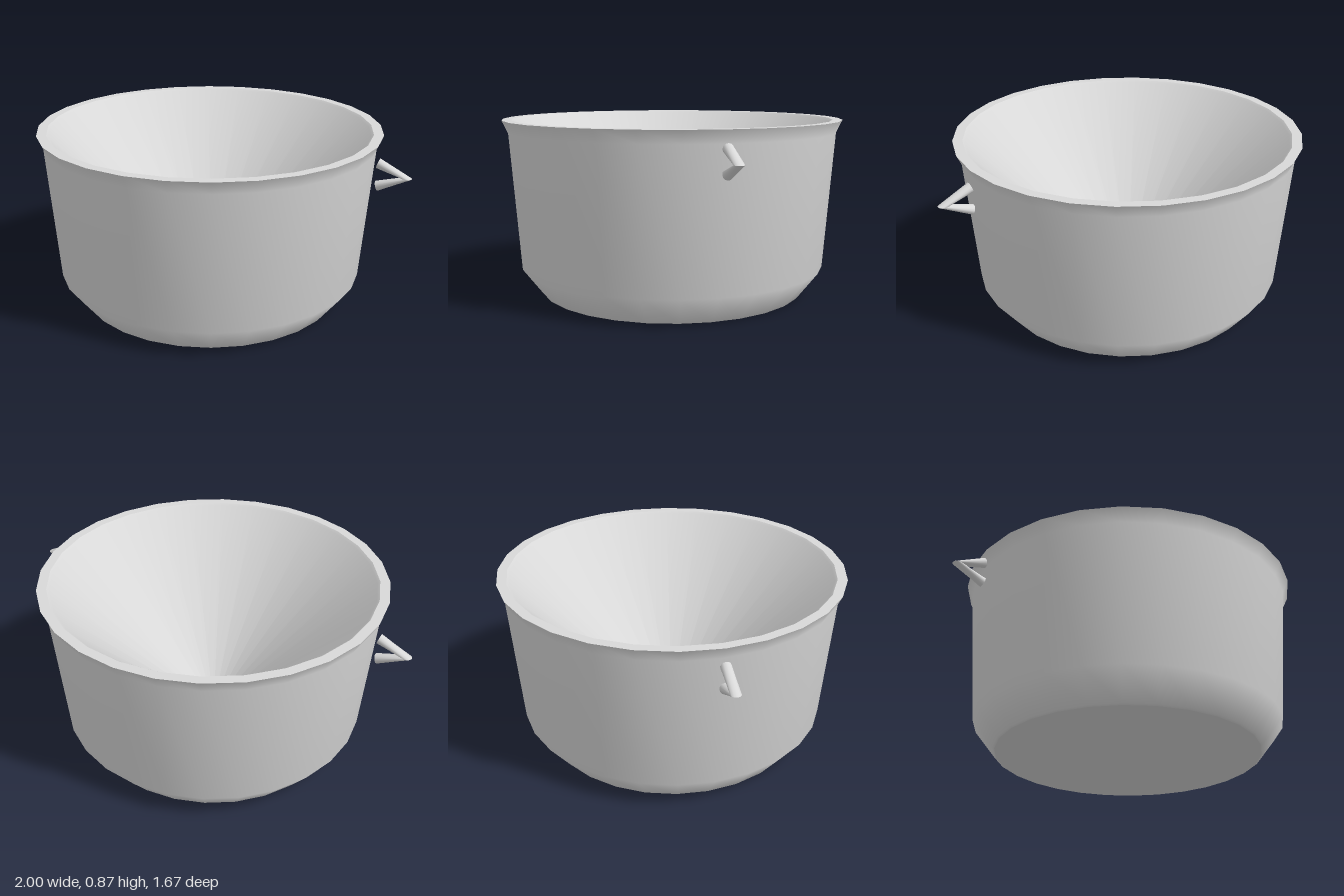
import * as THREE from 'three';

const SIDES = 28;

// V-shaped bar: two round arms that flatten into a shared edge at the tip
function handleGeometry() {
  const n = 12, r = 0.024;
  const low = { x: 0.842, y: 0.681, a: -1.25 };
  const tip = { x: 0.976, y: 0.735, a: 0 };
  const high = { x: 0.842, y: 0.789, a: 1.25 };
  const pos = [], idx = [];
  const addRing = ({ x, y, a }) => {
    const start = pos.length / 3;
    for (let i = 0; i < n; i++) {
      const t = (i / n) * Math.PI * 2, c = r * Math.cos(t);
      pos.push(x + c * Math.cos(a), y + c * Math.sin(a), r * Math.sin(t));
    }
    return start;
  };
  // each arm has its own rings, so the fold at the tip stays sharp
  for (const [from, to] of [[low, tip], [tip, high]]) {
    const a = addRing(from), b = addRing(to);
    for (let i = 0; i < n; i++) {
      const k = (i + 1) % n;
      idx.push(a + i, b + i, a + k, b + i, b + k, a + k);
    }
  }
  // end caps
  const s = addRing(low), e = addRing(high);
  for (let i = 1; i < n - 1; i++) {
    idx.push(s, s + i, s + i + 1, e, e + i + 1, e + i);
  }
  const g = new THREE.BufferGeometry();
  g.setAttribute('position', new THREE.Float32BufferAttribute(pos, 3));
  g.setIndex(idx);
  g.computeVertexNormals();
  return g;
}

export function createModel() {
  const model = new THREE.Group();
  model.name = 'pot';
  const metal = new THREE.MeshStandardMaterial({ color: 0xd8d8d8 });
  metal.name = 'grey metal';
  metal.side = THREE.DoubleSide;

  const lathe = (name, profile) => {
    const pts = profile.map(([x, y]) => new THREE.Vector2(x, y));
    const mesh = new THREE.Mesh(new THREE.LatheGeometry(pts, SIDES), metal);
    mesh.name = name;
    model.add(mesh);
  };

  // Pot body: separate turned surfaces keep the rim and base edges sharp
  lathe('base', [[0, 0], [0.645, 0]]);
  lathe('outerWall', [[0.645, 0], [0.655, 0.006], [0.757, 0.138], [0.808, 0.805], [0.837, 0.866]]);
  lathe('rim', [[0.837, 0.866], [0.79, 0.866]]);
  lathe('innerBowl', [[0.79, 0.866], [0.778, 0.856], [0, 0.06]]);

  // Handles, one on each side
  const geometry = handleGeometry();
  for (const side of [1, -1]) {
    const handle = new THREE.Mesh(geometry, metal);
    handle.name = side > 0 ? 'leftHandle' : 'rightHandle';
    if (side < 0) handle.rotation.y = Math.PI;
    model.add(handle);
  }
  return model;
}
